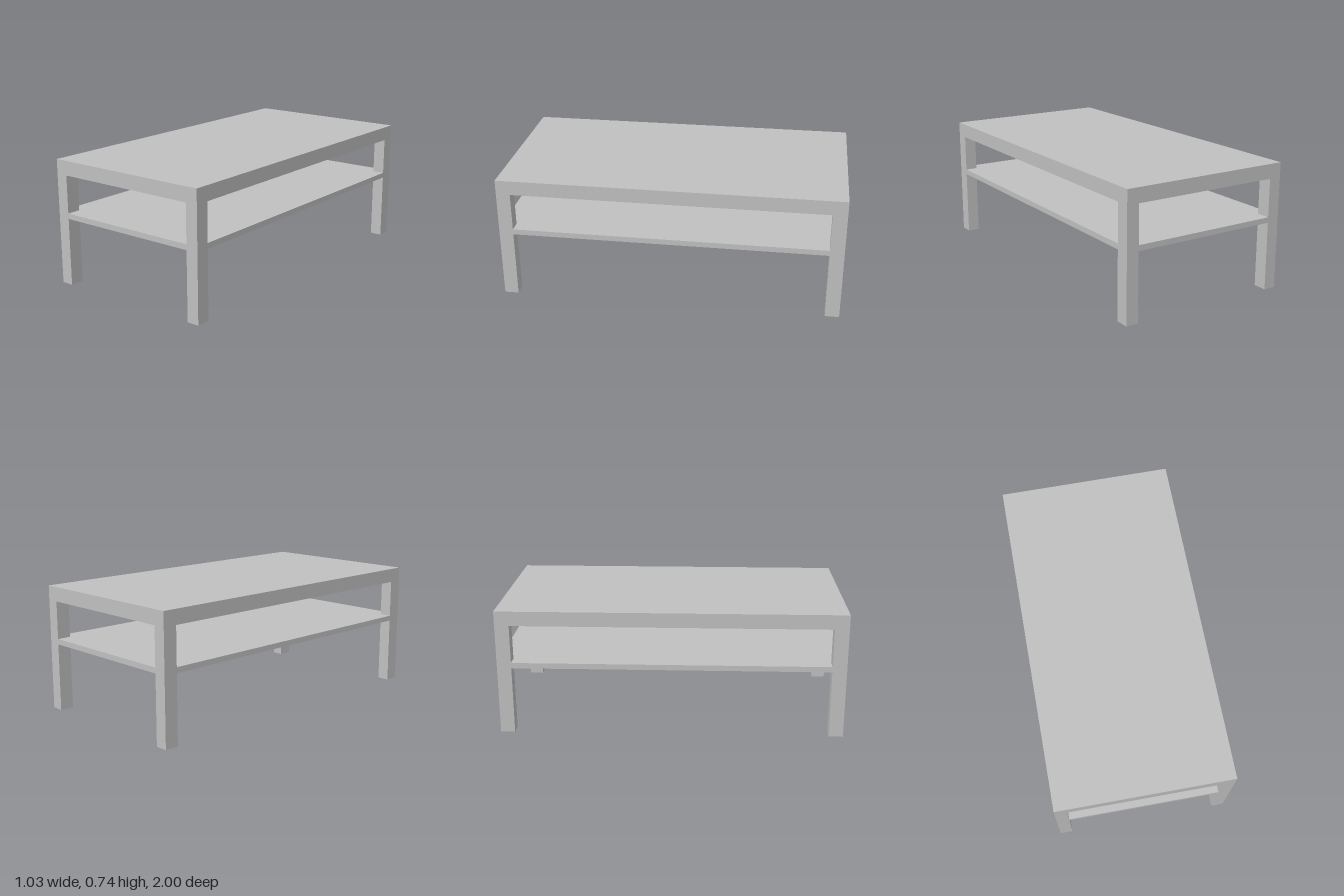
import * as THREE from 'three';

const WIDTH = 1.03, LENGTH = 2;
const LEG_X = 0.073, LEG_Z = 0.083;
const SHELF_BOTTOM = 0.4, SHELF_TOP = 0.432;
const TOP_BOTTOM = 0.655, TOP = 0.74;

// Box shell keeping only the listed sides (0 +x, 1 -x, 2 +y, 3 -y, 4 +z, 5 -z)
function shell(w, y0, y1, d, sides) {
  const box = new THREE.BoxGeometry(w, y1 - y0, d);
  const index = box.getIndex().array;
  const kept = sides.flatMap((s) => Array.from(index.slice(s * 6, s * 6 + 6)));
  box.setIndex(kept);
  box.clearGroups();
  box.translate(0, (y0 + y1) / 2, 0);
  return box;
}

export function createModel() {
  const table = new THREE.Group();
  table.name = 'coffeeTable';
  const grey = new THREE.MeshStandardMaterial({ color: 0xc0c0c0, side: THREE.DoubleSide });
  grey.name = 'lightGrey';

  function add(name, geometry, x = 0, z = 0) {
    const mesh = new THREE.Mesh(geometry, grey);
    mesh.name = name;
    mesh.position.set(x, 0, z);
    table.add(mesh);
  }

  // Table top and shelf are hollow slabs, open underneath
  const openBelow = [0, 1, 2, 4, 5];
  add('tableTop', shell(WIDTH, TOP_BOTTOM, TOP, LENGTH, openBelow));
  add('shelf', shell(WIDTH, SHELF_BOTTOM, SHELF_TOP, LENGTH, openBelow));

  // Hollow square legs below the shelf, matching posts above it
  const walls = [0, 1, 4, 5];
  const legGeometry = shell(LEG_X, 0, SHELF_BOTTOM, LEG_Z, walls);
  const postGeometry = shell(LEG_X, SHELF_TOP, TOP_BOTTOM, LEG_Z, walls);
  for (const sx of [1, -1]) {
    for (const sz of [1, -1]) {
      const place = (sz > 0 ? 'front' : 'back') + (sx > 0 ? 'Left' : 'Right');
      const x = sx * (WIDTH - LEG_X) / 2, z = sz * (LENGTH - LEG_Z) / 2;
      add(place + 'Leg', legGeometry, x, z);
      add(place + 'Post', postGeometry, x, z);
    }
  }
  return table;
}
